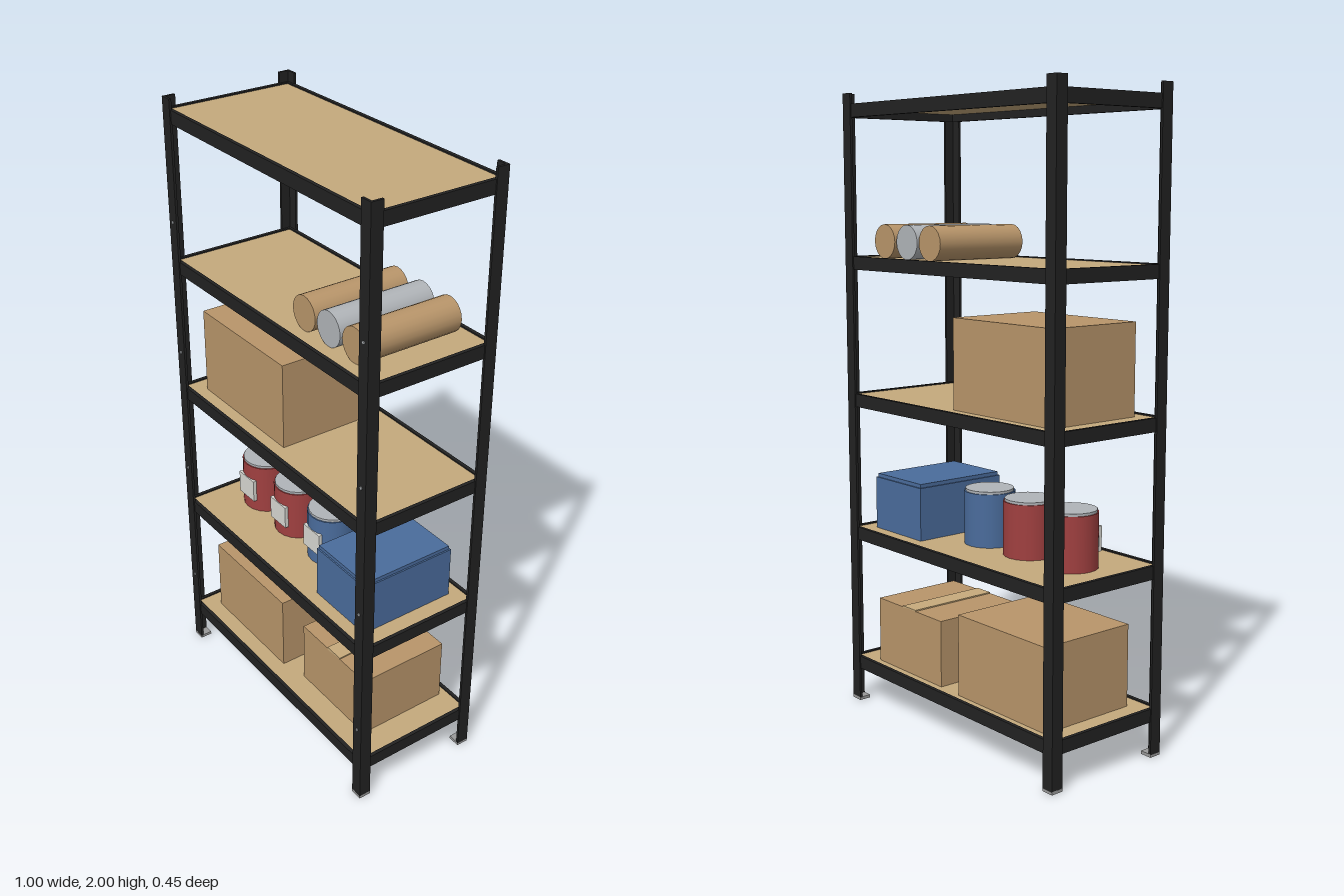
import * as THREE from 'three';

const mat = (color) => new THREE.MeshStandardMaterial({ color });
const M = {
  steel: mat(0x222222), board: mat(0xc4a97c), card: mat(0xb8956a), tape: mat(0xc8ab7c),
  red: mat(0xa04040), blue: mat(0x4a6c9c), grey: mat(0xb0b4b8), label: mat(0xd8d8d2), foot: mat(0x999999),
};

export function createModel() {
  const root = new THREE.Group();

  const add = (name, geo, material, x, y, z, parent = root) => {
    const mesh = new THREE.Mesh(geo, material);
    mesh.name = name;
    mesh.position.set(x, y, z);
    parent.add(mesh);
    return mesh;
  };
  // Box given by its limits on each axis
  const box = (name, material, [x0, x1], [y0, y1], [z0, z1], parent) =>
    add(name, new THREE.BoxGeometry(x1 - x0, y1 - y0, z1 - z0), material,
      (x0 + x1) / 2, (y0 + y1) / 2, (z0 + z1) / 2, parent);

  // Corner posts: L-shaped angle steel on small foot plates
  const W = 0.5, D = 0.222, arm = 0.04, t = 0.008;
  const angle = new THREE.Shape([[0, 0], [arm, 0], [arm, t], [t, t], [t, arm], [0, arm]]
    .map(([x, y]) => new THREE.Vector2(x, y)));
  const postGeo = new THREE.ExtrudeGeometry(angle, { depth: 1.992, bevelEnabled: false });
  postGeo.rotateX(-Math.PI / 2); // corner at origin, arms along +x and -z
  const corners = [[-1, 1], [1, 1], [1, -1], [-1, -1]];
  corners.forEach(([sx, sz], i) => {
    const post = add('post', postGeo, M.steel, sx * W, 0.008, sz * D);
    post.rotation.y = i * Math.PI / 2;
    add('foot', new THREE.BoxGeometry(arm, 0.01, arm), M.foot, sx * (W - arm / 2), 0.005, sz * (D - arm / 2));
  });

  // Bolts on the front posts
  const boltGeo = new THREE.CylinderGeometry(0.005, 0.005, 0.006, 8).rotateX(Math.PI / 2);
  for (const y of [0.28, 0.73, 1.17, 1.615])
    for (const s of [-1, 1]) add('bolt', boltGeo, M.grey, s * 0.48, y, D);

  // Shelves: steel rim around a recessed board
  for (const top of [0.154, 0.6, 1.045, 1.49, 1.967]) {
    const shelf = new THREE.Group();
    shelf.name = 'shelf';
    root.add(shelf);
    const y = [top - 0.042, top];
    for (const s of [-1, 1]) {
      add('longBeam', new THREE.BoxGeometry(0.984, 0.042, 0.012), M.steel, 0, top - 0.021, s * 0.212, shelf);
      add('sideBeam', new THREE.BoxGeometry(0.012, 0.042, 0.412), M.steel, s * 0.49, top - 0.021, 0, shelf);
    }
    box('shelfBoard', M.board, [-0.484, 0.484], [y[1] - 0.018, y[1] - 0.004], [-0.206, 0.206], shelf);
  }

  // Cardboard boxes
  box('largeBox', M.card, [-0.426, -0.025], [0.15, 0.41], [-0.183, 0.153]);
  box('smallBox', M.card, [0.066, 0.397], [0.15, 0.365], [-0.18, 0.132]);
  box('boxTape', M.tape, [0.2, 0.266], [0.36, 0.369], [-0.18, 0.132]);
  box('wideBox', M.card, [-0.426, 0.016], [1.041, 1.322], [-0.164, 0.164]);

  // Paint cans with lids and front labels
  const canGeo = new THREE.CylinderGeometry(0.081, 0.081, 0.17, 20);
  const lidGeo = new THREE.CylinderGeometry(0.077, 0.077, 0.012, 20);
  [[-0.336, M.red], [-0.148, M.red], [0.042, M.blue]].forEach(([x, material]) => {
    const can = new THREE.Group();
    can.name = 'paintCan';
    can.position.set(x, 0.597, 0);
    root.add(can);
    add('canBody', canGeo, material, 0, 0.085, 0, can);
    add('canLid', lidGeo, M.grey, 0, 0.172, 0, can);
    add('canLabel', new THREE.BoxGeometry(0.085, 0.078, 0.012), M.label, 0, 0.081, 0.077, can);
  });

  // Storage bin with a slightly inset lid
  box('binBody', M.blue, [0.188, 0.43], [0.597, 0.768], [-0.164, 0.164]);
  box('binLid', M.blue, [0.193, 0.425], [0.768, 0.78], [-0.159, 0.159]);

  // Rolls lying front to back
  const rollGeo = new THREE.CylinderGeometry(0.054, 0.054, 0.328, 20).rotateX(Math.PI / 2);
  [[0.13, M.card], [0.246, M.grey], [0.363, M.card]].forEach(([x, material]) =>
    add('roll', rollGeo, material, x, 1.539, 0));

  return root;
}
